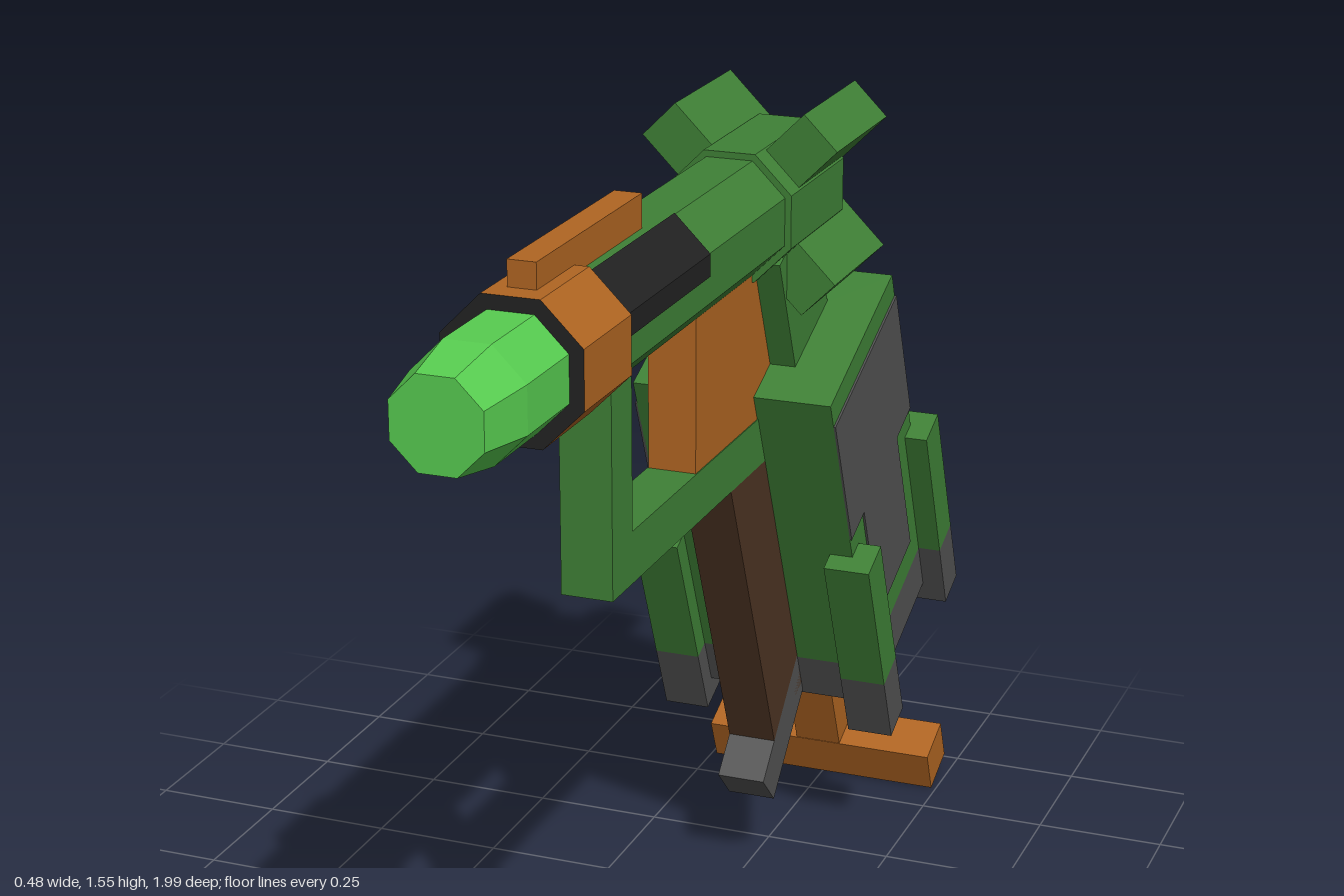
import * as THREE from 'three';

const material = (name, color) => {
  const m = new THREE.MeshStandardMaterial({ color });
  m.name = name;
  return m;
};

export function createModel() {
  const green = material('body green', 0x3f8036);
  const bright = material('tip green', 0x57cc50);
  const orange = material('wood orange', 0xb06522);
  const brown = material('dark brown', 0x4d3423);
  const gray = material('gray', 0x525252);
  const black = material('black', 0x222222);

  const model = new THREE.Group();
  const AXIS = 1.368; // height of the barrel axis

  const add = (parent, name, geometry, mat, x = 0, y = 0, z = 0) => {
    const mesh = new THREE.Mesh(geometry, mat);
    mesh.name = name;
    mesh.position.set(x, y, z);
    parent.add(mesh);
    return mesh;
  };

  // Box given by its centre x, width, and y and z ranges
  const block = (parent, name, mat, x, w, y0, y1, z0, z1) =>
    add(parent, name, new THREE.BoxGeometry(w, y1 - y0, z1 - z0), mat, x, (y0 + y1) / 2, (z0 + z1) / 2);

  // Flat-topped octagonal prism along z, sized by apothem
  const octagon = (name, mat, front, back, z0, z1) => {
    const k = 1 / Math.cos(Math.PI / 8);
    let g = new THREE.CylinderGeometry(front * k, back * k, z1 - z0, 8);
    g.rotateY(Math.PI / 8).rotateX(Math.PI / 2);
    g = g.toNonIndexed();
    g.computeVertexNormals();
    return add(model, name, g, mat, 0, AXIS, (z0 + z1) / 2);
  };

  const extrude = (points, depth) => {
    const shape = new THREE.Shape(points.map(([a, b]) => new THREE.Vector2(a, b)));
    return new THREE.ExtrudeGeometry(shape, { depth, bevelEnabled: false }).translate(0, 0, -depth / 2);
  };
  // Side profile of (z, y) points, thickened along x
  const sideProfile = (points, width) => extrude(points, width).rotateY(-Math.PI / 2);

  // Barrel, muzzle and rear collar
  octagon('barrel', green, 0.107, 0.107, -0.26, 0.54);
  octagon('muzzleCollar', [orange, black, orange], 0.122, 0.122, 0.53, 0.725);
  octagon('tipBase', bright, 0.097, 0.097, 0.72, 0.885);
  octagon('tipTaper', bright, 0.078, 0.097, 0.885, 1);
  octagon('rearCollar', green, 0.119, 0.119, -0.54, -0.245);
  block(model, 'sightRail', orange, 0, 0.05, 1.47, 1.535, 0.24, 0.68);

  // Black plates wrapping the upper sides of the barrel
  const t = Math.tan(Math.PI / 8), a = 0.111, b = 0.103;
  for (const s of [-1, 1]) {
    const plate = [[a, 0.006], [a, a * t], [a * t, a], [b * t, b], [b, b * t], [b, 0.006]];
    add(model, 'barrelPlate', extrude(plate.map(([x, y]) => [s * x, y]), 0.385), black, 0, AXIS, 0.3375);
  }

  // Four diagonal fins round the rear collar
  for (let i = 0; i < 4; i++) {
    const angle = Math.PI / 4 + i * Math.PI / 2, r = 0.16;
    const fin = add(model, 'rearFin', new THREE.BoxGeometry(0.12, 0.09, 0.29), green,
      r * Math.cos(angle), AXIS + r * Math.sin(angle), -0.44);
    fin.rotation.z = angle;
  }

  // Trigger guard, trigger block and grip spine
  block(model, 'guardPost', green, 0, 0.094, 0.975, 1.28, 0.345, 0.435);
  block(model, 'guardBar', green, 0, 0.094, 0.88, 0.975, -0.33, 0.435);
  add(model, 'triggerBlock', sideProfile([[0.04, 0.975], [0.04, 1.275], [-0.3, 1.275], [-0.38, 0.975]], 0.09), orange);
  add(model, 'gripSpine', sideProfile([[-0.137, 0.88], [-0.394, 0.268], [-0.56, 0.335], [-0.33, 0.88]], 0.094), brown);

  // Tilted tank, measured from its upper front edge
  const tank = new THREE.Group();
  tank.name = 'tank';
  tank.position.set(0, 1.024, -0.26);
  tank.rotation.x = 0.401;
  model.add(tank);
  block(tank, 'neck', green, 0, 0.19, -0.02, 0.24, -0.295, -0.097);
  block(tank, 'tankBody', green, 0, 0.39, -0.68, 0, -0.39, 0);
  block(tank, 'tankBase', gray, 0, 0.39, -0.78, -0.68, -0.39, 0);

  const panel = [[0, -0.05], [0, -0.335], [-0.08, -0.335], [-0.08, -0.615],
    [-0.3, -0.615], [-0.3, -0.335], [-0.39, -0.335], [-0.39, -0.05]];
  for (const s of [-1, 1]) {
    add(tank, 'sidePanel', sideProfile(panel, 0.008), gray, s * 0.195);
    // Corner posts with gray feet
    for (const z of [0, -0.39]) {
      block(tank, 'cornerPost', green, s * 0.195, 0.09, -0.68, -0.38, z - 0.04, z + 0.04);
      block(tank, 'cornerFoot', gray, s * 0.195, 0.09, -0.825, -0.68, z - 0.04, z + 0.04);
    }
  }

  // Pump rod and cross handle
  block(tank, 'pumpRod', orange, 0, 0.094, -1.08, -0.76, -0.235, -0.137);
  block(tank, 'pumpHandle', orange, 0, 0.48, -1.165, -1.073, -0.236, -0.136);

  // Angled lugs under the tank, front and back
  const lug = (name, z, y, length, dir) => {
    const h = length / 2 * Math.SQRT1_2;
    const mesh = add(model, name, new THREE.BoxGeometry(0.094, 0.09, length), gray, 0, y + h, z - dir * h);
    mesh.rotation.x = dir * Math.PI / 4;
  };
  lug('frontLug', -0.362, 0.177, 0.3, 1);
  lug('backLug', -0.9625, 0.397, 0.2, -1);

  return model;
}
